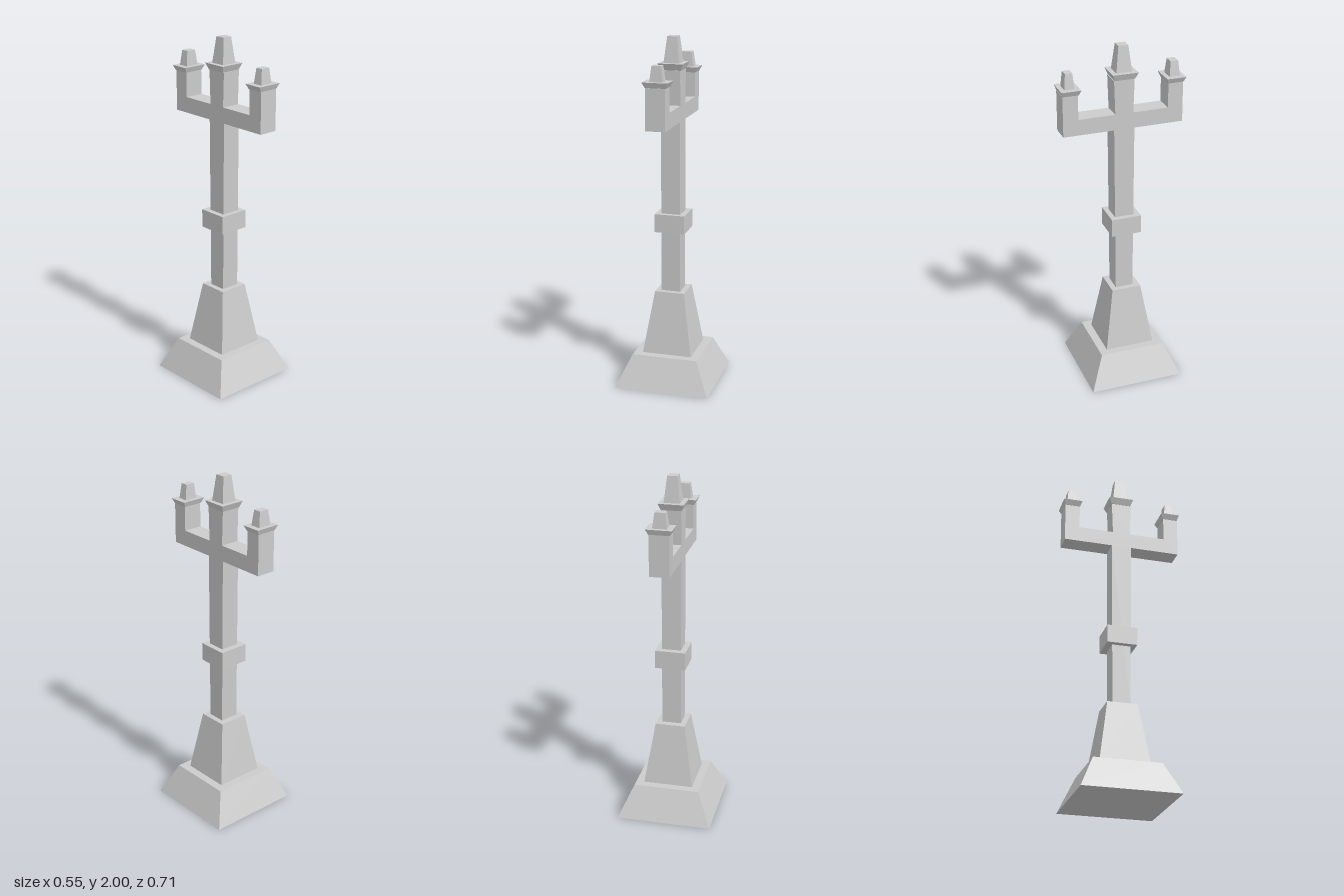
import * as THREE from 'three';

const material = new THREE.MeshStandardMaterial({ color: 0xcccccc, flatShading: true });
const AXIS_Z = -0.007; // the column stands slightly behind the centre

// Square-sided block tapering from a bottom to a top rectangle (half sizes in x and z)
function taper(name, y0, y1, [bx, bz], [tx, tz], z = AXIS_Z) {
  const geometry = new THREE.BoxGeometry(2, y1 - y0, 2);
  const p = geometry.attributes.position;
  for (let i = 0; i < p.count; i++) {
    const top = p.getY(i) > 0;
    p.setX(i, p.getX(i) * (top ? tx : bx));
    p.setZ(i, p.getZ(i) * (top ? tz : bz));
  }
  geometry.computeVertexNormals();
  const mesh = new THREE.Mesh(geometry, material);
  mesh.name = name;
  mesh.position.set(0, (y0 + y1) / 2, z);
  return mesh;
}

// Column and both upturned arms as one trident outline in z-y, extruded across x
function trident() {
  const half = 0.055;
  const side = [[half, 0.545], [half, 1.535], [0.343, 1.535], [0.343, 1.765],
    [0.257, 1.765], [0.257, 1.625], [half, 1.625], [half, 1.818]];
  const mirrored = side.map(([z, y]) => [-z, y]).reverse();
  const shape = new THREE.Shape([...side, ...mirrored].map(([z, y]) => new THREE.Vector2(z, y)));
  // the column is offset, while the arm ends stay centred
  for (const c of shape.curves) {
    for (const v of [c.v1]) if (Math.abs(v.x) < 0.1) v.x += AXIS_Z;
  }
  const geometry = new THREE.ExtrudeGeometry(shape, { depth: 2 * half, bevelEnabled: false });
  geometry.translate(0, 0, -half).rotateY(-Math.PI / 2);
  const mesh = new THREE.Mesh(geometry, material);
  mesh.name = 'columnWithArms';
  return mesh;
}

export function createModel() {
  const model = new THREE.Group();
  model.name = 'lampPost';

  // Stepped foot, shaft and band
  model.add(
    taper('plinth', 0, 0.185, [0.274, 0.274], [0.19, 0.19]),
    taper('pedestal', 0.185, 0.545, [0.143, 0.143], [0.086, 0.086]),
    trident(),
    taper('band', 0.9, 1.005, [0.087, 0.087], [0.087, 0.087]),
  );

  // Central capital and lantern
  model.add(
    taper('centreCapital', 1.818, 1.855, [0.057, 0.057], [0.072, 0.072]),
    taper('centreLantern', 1.855, 2, [0.0445, 0.0445], [0.028, 0.028]),
  );

  // Capital and lantern on each arm
  for (const [name, z, s] of [['front', 0.297, 1], ['back', -0.3, 1.07]]) {
    model.add(
      taper(name + 'Capital', 1.765, 1.795, [0.057, 0.044], [0.072, 0.055], z),
      taper(name + 'Lantern', 1.795, 1.88, [0.037 * s, 0.028 * s], [0.0265 * s, 0.0205 * s], z),
    );
  }
  return model;
}
